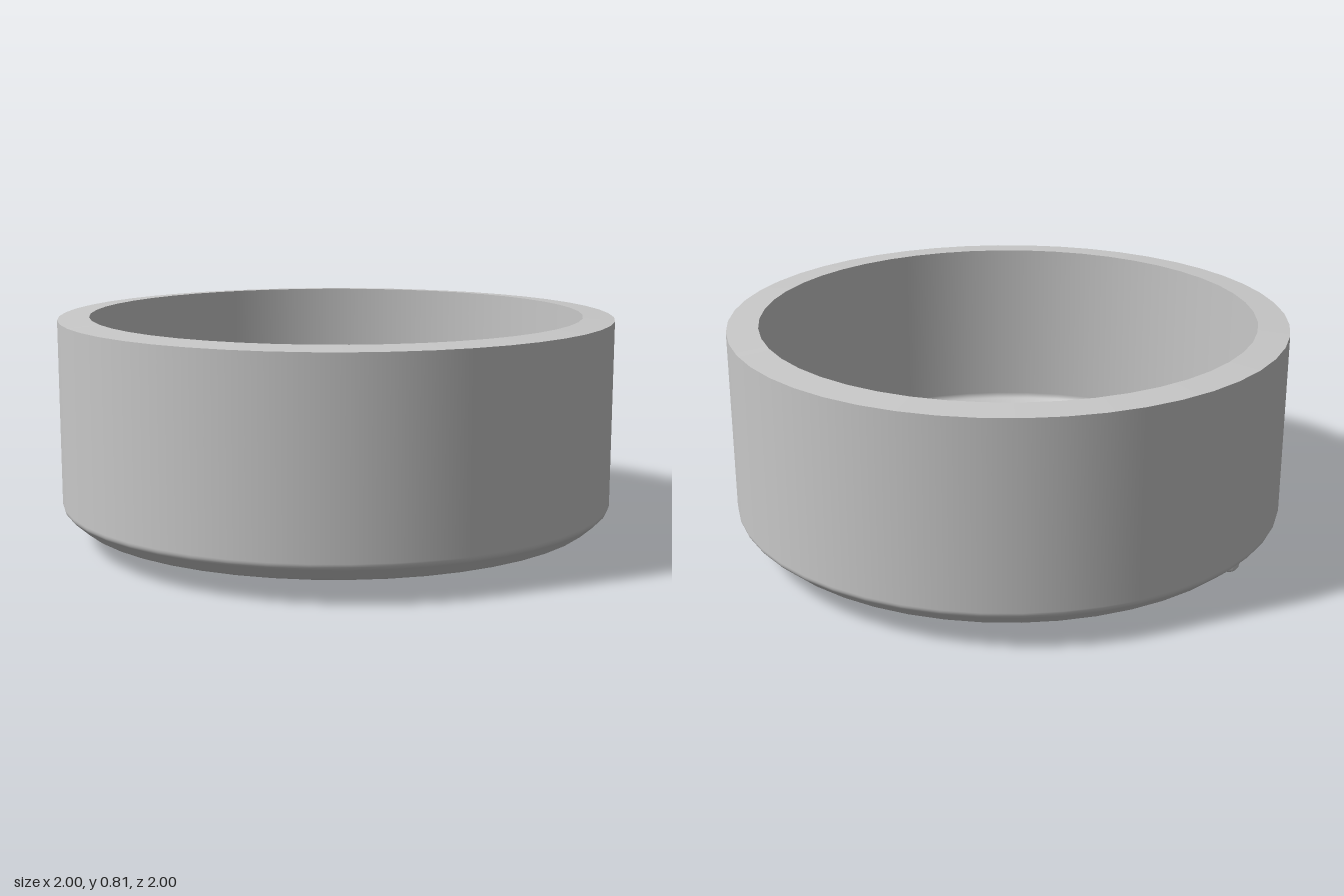
import * as THREE from 'three';
import { toCreasedNormals } from 'three/addons/utils/BufferGeometryUtils.js';

const SEGMENTS = 48;
const FLOOR = 0.071;

// Lathe profile from corner points, with each inner corner softened by a small curve
function softProfile(corners, radius) {
  const pts = corners.map(([x, y]) => new THREE.Vector2(x, y));
  const out = [pts[0]];
  for (let i = 1; i < pts.length - 1; i++) {
    const toward = (p) => pts[i].clone().add(p.clone().sub(pts[i]).setLength(radius));
    const curve = new THREE.QuadraticBezierCurve(toward(pts[i - 1]), pts[i], toward(pts[i + 1]));
    out.push(...curve.getPoints(5));
  }
  out.push(pts[pts.length - 1]);
  return out;
}

// Upright block with rounded corners and a bevelled lower edge, standing on y = 0
function tabGeometry(width, depth, height, corner, bevel) {
  const w = width / 2 - bevel, d = depth / 2 - bevel, r = corner - bevel;
  const shape = new THREE.Shape();
  shape.absarc(w - r, d - r, r, 0, Math.PI / 2);
  shape.absarc(r - w, d - r, r, Math.PI / 2, Math.PI);
  shape.absarc(r - w, r - d, r, Math.PI, Math.PI * 1.5);
  shape.absarc(w - r, r - d, r, Math.PI * 1.5, Math.PI * 2);
  const geometry = new THREE.ExtrudeGeometry(shape, {
    depth: height, bevelEnabled: true, bevelSize: bevel, bevelThickness: bevel,
    bevelSegments: 3, curveSegments: 5,
  });
  geometry.rotateX(-Math.PI / 2).translate(0, bevel, 0);
  // The upper end is cut flat where it meets the floor
  const pos = geometry.attributes.position;
  for (let i = 0; i < pos.count; i++) pos.setY(i, Math.min(pos.getY(i), height));
  return toCreasedNormals(geometry, 0.7);
}

export function createModel() {
  const model = new THREE.Group();
  model.name = 'roundCap';

  const grey = new THREE.MeshStandardMaterial({ color: 0xc8c8c8, side: THREE.DoubleSide });
  grey.name = 'grey';

  const add = (name, geometry) => {
    const mesh = new THREE.Mesh(geometry, grey);
    mesh.name = name;
    model.add(mesh);
    return mesh;
  };

  // Thin open shell: floor, bevel and wall, seen from inside and outside
  add('shell', new THREE.LatheGeometry(
    softProfile([[0, FLOOR], [0.937, FLOOR], [1, 0.127], [1, 0.8]], 0.014), SEGMENTS));

  // Slightly sloping lip that overhangs the inside
  add('lip', new THREE.LatheGeometry(
    [new THREE.Vector2(1, 0.8), new THREE.Vector2(0.888, 0.808)], SEGMENTS));

  // Small locating tab under the edge
  const tab = add('locatingTab', tabGeometry(0.278, 0.083, FLOOR - 0.001, 0.032, 0.014));
  tab.position.x = -0.773;

  return model;
}
